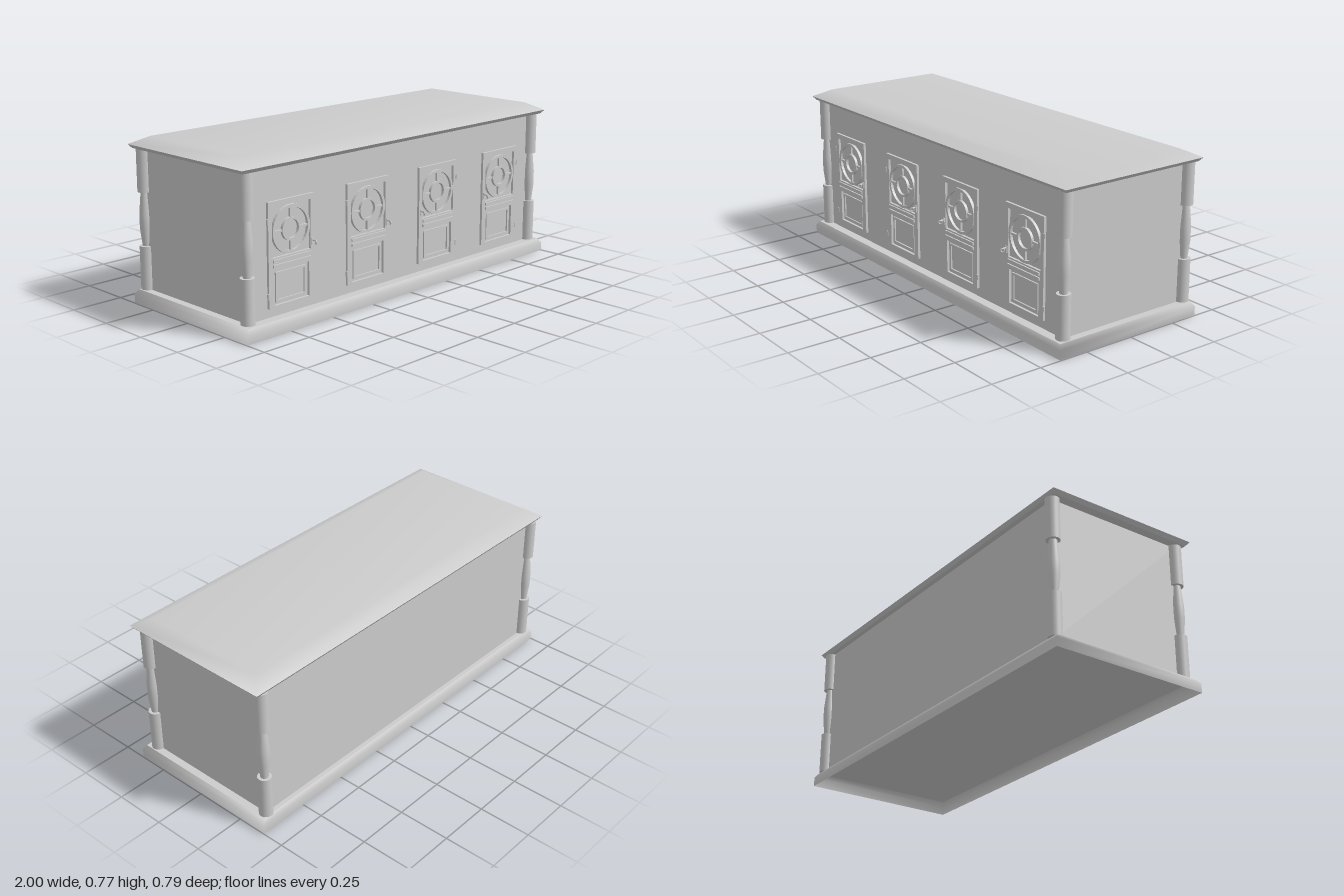
import * as THREE from 'three';

const grey = new THREE.MeshStandardMaterial({ color: 0xcccccc, side: THREE.DoubleSide });
const WALL = 0.335; // z of the front wall

function add(parent, name, geometry, x = 0, y = 0, z = 0) {
  const mesh = new THREE.Mesh(geometry, grey);
  mesh.name = name;
  mesh.position.set(x, y, z);
  parent.add(mesh);
  return mesh;
}

function box(parent, name, w, h, d, x, y, z) {
  return add(parent, name, new THREE.BoxGeometry(w, h, d), x, y, z);
}

// Smooth skin over stacked rectangles, each [halfWidth, y, backZ, frontZ]
function loft(rings, capped) {
  const pos = [], index = [];
  for (const [hx, y, zb, zf] of rings) pos.push(-hx, y, zf, hx, y, zf, hx, y, zb, -hx, y, zb);
  for (let r = 0; r < rings.length - 1; r++) {
    for (let i = 0; i < 4; i++) {
      const a = r * 4 + i, b = r * 4 + (i + 1) % 4;
      index.push(a, b, b + 4, a, b + 4, a + 4);
    }
  }
  const t = (rings.length - 1) * 4;
  if (capped) index.push(t, t + 1, t + 2, t, t + 2, t + 3);
  const g = new THREE.BufferGeometry();
  g.setAttribute('position', new THREE.Float32BufferAttribute(pos, 3));
  g.setIndex(index);
  g.computeVertexNormals();
  return g;
}

function rect(shape, x0, y0, x1, y1) {
  shape.moveTo(x0, y0);
  shape.lineTo(x1, y0);
  shape.lineTo(x1, y1);
  shape.lineTo(x0, y1);
  shape.closePath();
  return shape;
}

// Flat rectangular frame, standing on the wall plane
function frame(outer, holes, depth) {
  const s = rect(new THREE.Shape(), ...outer);
  for (const h of holes) s.holes.push(rect(new THREE.Path(), ...h));
  return new THREE.ExtrudeGeometry(s, { depth, bevelEnabled: false });
}

function ring(outer, inner, depth) {
  const s = new THREE.Shape().absarc(0, 0, outer, 0, Math.PI * 2);
  s.holes.push(new THREE.Path().absarc(0, 0, inner, 0, Math.PI * 2, true));
  return new THREE.ExtrudeGeometry(s, { depth, bevelEnabled: false, curveSegments: 16 });
}

// Door with a round rosette above, two slats and a lower panel; side = handle side
function makeDoor(side) {
  const door = new THREE.Group();
  door.name = 'door';
  const upper = [-0.11, 0.325, 0.11, 0.545], lower = [-0.1, 0.115, 0.1, 0.27];
  add(door, 'doorFrame', frame([-0.131, 0.105, 0.131, 0.57], [upper, lower], 0.012));
  add(door, 'lowerMoulding', frame([-0.088, 0.125, 0.088, 0.258], [[-0.077, 0.136, 0.077, 0.247]], 0.007));
  for (const y of [0.311, 0.289]) box(door, 'slat', 0.216, 0.013, 0.008, 0, y, 0.015);

  // Rosette
  add(door, 'rosetteRing', ring(0.107, 0.094, 0.013), 0, 0.435, 0);
  add(door, 'rosetteHub', ring(0.052, 0.041, 0.013), 0, 0.435, 0);
  for (let i = 0; i < 4; i++) {
    const a = i * Math.PI / 2;
    const spoke = box(door, 'spoke', 0.046, 0.01, 0.01, Math.cos(a) * 0.073, 0.435 + Math.sin(a) * 0.073, 0.005);
    spoke.rotation.z = a;
  }

  // Hinges and handle
  for (const y of [0.16, 0.487]) {
    add(door, 'hinge', new THREE.CylinderGeometry(0.006, 0.006, 0.024, 10), -side * 0.133, y, 0.01);
  }
  box(door, 'handlePlate', 0.012, 0.032, 0.005, side * 0.12, 0.355, 0.014);
  const stem = add(door, 'handleStem', new THREE.CylinderGeometry(0.004, 0.004, 0.02, 8), side * 0.12, 0.362, 0.025);
  stem.rotation.x = Math.PI / 2;
  const pull = add(door, 'handlePull', new THREE.TorusGeometry(0.008, 0.003, 6, 14), side * 0.12, 0.355, 0.034);
  pull.rotation.y = Math.PI / 3;
  return door;
}

// Corner post: two drums with a slim baluster between them
function makePost() {
  const post = new THREE.Group();
  post.name = 'cornerPost';
  const drum = (h, y) => add(post, 'drum', new THREE.CylinderGeometry(0.032, 0.032, h, 24), 0, y, 0);
  drum(0.203, 0.1665);
  drum(0.2, 0.617);
  const profile = [[0.018, 0.268], [0.0275, 0.35], [0.0275, 0.42], [0.018, 0.517]];
  add(post, 'baluster', new THREE.LatheGeometry(profile.map(p => new THREE.Vector2(...p)), 24));
  return post;
}

export function createModel() {
  const model = new THREE.Group();
  model.name = 'sideboard';

  // Cabinet body
  box(model, 'body', 1.888, 0.654, 0.692, 0, 0.391, -0.011);

  // Hollow plinth with a chamfered top edge
  add(model, 'plinth', loft([[0.996, 0, -0.392, 0.393], [0.996, 0.043, -0.392, 0.393], [0.98, 0.064, -0.378, 0.38]], false));
  add(model, 'plinthTop', loft([[0.98, 0.064, -0.378, 0.38]], true));

  // Top slab: undercut edge, then a slope up to the flat top
  add(model, 'topUnderside', loft([[0.985, 0.717, -0.38, 0.367]], true));
  add(model, 'topUndercut', loft([[0.985, 0.717, -0.38, 0.367], [1, 0.735, -0.393, 0.382]], false));
  add(model, 'topSlab', loft([[1, 0.735, -0.393, 0.382], [0.93, 0.773, -0.316, 0.305]], true));

  // Posts at the four corners
  for (const x of [-0.944, 0.944]) {
    for (const z of [0.336, -0.357]) {
      const post = makePost();
      post.position.set(x, 0, z);
      model.add(post);
    }
  }

  // Doors, handles facing the middle
  for (const x of [-0.703, -0.238, 0.232, 0.695]) {
    const door = makeDoor(-Math.sign(x));
    door.position.set(x, 0, WALL);
    model.add(door);
  }
  return model;
}
